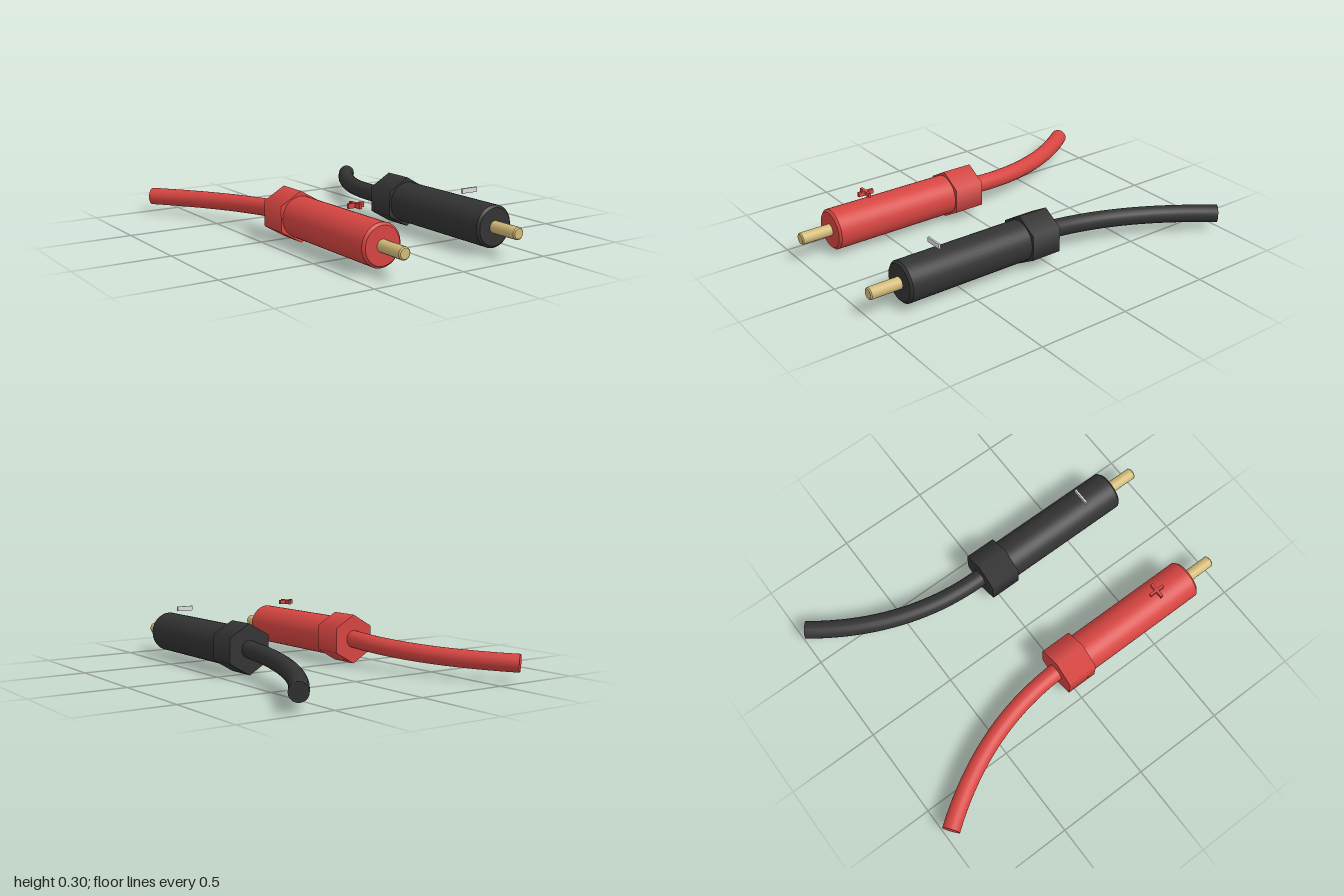
import * as THREE from 'three';

const mat = (name, color, side = THREE.FrontSide) => {
  const m = new THREE.MeshStandardMaterial({ color, side });
  m.name = name;
  return m;
};

const Y = 0.137; // height of the plug axis
const X = 0.335; // distance of each plug from the middle

export function createModel() {
  const red = mat('red plastic', 0xd64541);
  const black = mat('black plastic', 0x333333);
  const brass = mat('brass', 0xd3ba78);
  const white = mat('light grey mark', 0xdddddd);
  const model = new THREE.Group();
  model.name = 'testLeadPlugs';

  const add = (parent, name, geometry, material) => {
    const mesh = new THREE.Mesh(geometry, material);
    mesh.name = name;
    parent.add(mesh);
    return mesh;
  };

  // Round bar along z with a bevelled front end; doubled points keep edges crisp
  const bar = (r, z0, z1, bevel, sides) => {
    const p = [[0, z0], [r, z0], [r, z0], [r, z1 - bevel], [r, z1 - bevel],
      [r - bevel, z1], [r - bevel, z1], [0, z1]];
    return new THREE.LatheGeometry(p.map(([a, b]) => new THREE.Vector2(a, b)), sides)
      .rotateX(Math.PI / 2);
  };

  for (const side of [-1, 1]) {
    const plastic = side < 0 ? red : black;
    const plug = new THREE.Group();
    plug.name = side < 0 ? 'positivePlug' : 'negativePlug';
    plug.position.set(side * X, Y, 0);
    model.add(plug);

    add(plug, 'handle', bar(0.108, 0.1, 0.83, 0.012, 40), plastic);
    add(plug, 'pin', bar(0.032, 0.82, 1, 0.006, 16), brass);

    // Hexagonal collar with a corner pointing up
    const hex = new THREE.CylinderGeometry(0.134, 0.134, 0.17, 6).rotateX(Math.PI / 2);
    add(plug, 'hexCollar', hex, plastic).position.z = 0.035;

    // Cable sweeping outwards and sagging a little
    const path = new THREE.QuadraticBezierCurve3(
      new THREE.Vector3(0, 0.002, -0.04),
      new THREE.Vector3(0, -0.034, -0.53),
      new THREE.Vector3(side * 0.332, -0.041, -0.967));
    add(plug, 'cable', new THREE.TubeGeometry(path, 40, 0.047, 20), plastic);
    const end = add(plug, 'cableEnd', new THREE.CircleGeometry(0.047, 20), plastic);
    end.position.copy(path.getPoint(1));
    end.quaternion.setFromUnitVectors(new THREE.Vector3(0, 0, 1), path.getTangent(1));

    // Polarity mark above the handle
    const mark = new THREE.Group();
    mark.name = 'polarityMark';
    mark.position.set(0, 0.149, side < 0 ? 0.61 : 0.63);
    plug.add(mark);
    if (side < 0) {
      add(mark, 'plusAcross', new THREE.BoxGeometry(0.086, 0.024, 0.014), red);
      for (const s of [-1, 1]) {
        add(mark, 'plusArm', new THREE.BoxGeometry(0.014, 0.024, 0.036), red).position.z = s * 0.025;
      }
    } else {
      add(mark, 'minusBar', new THREE.BoxGeometry(0.094, 0.025, 0.01), white);
    }
  }
  return model;
}
